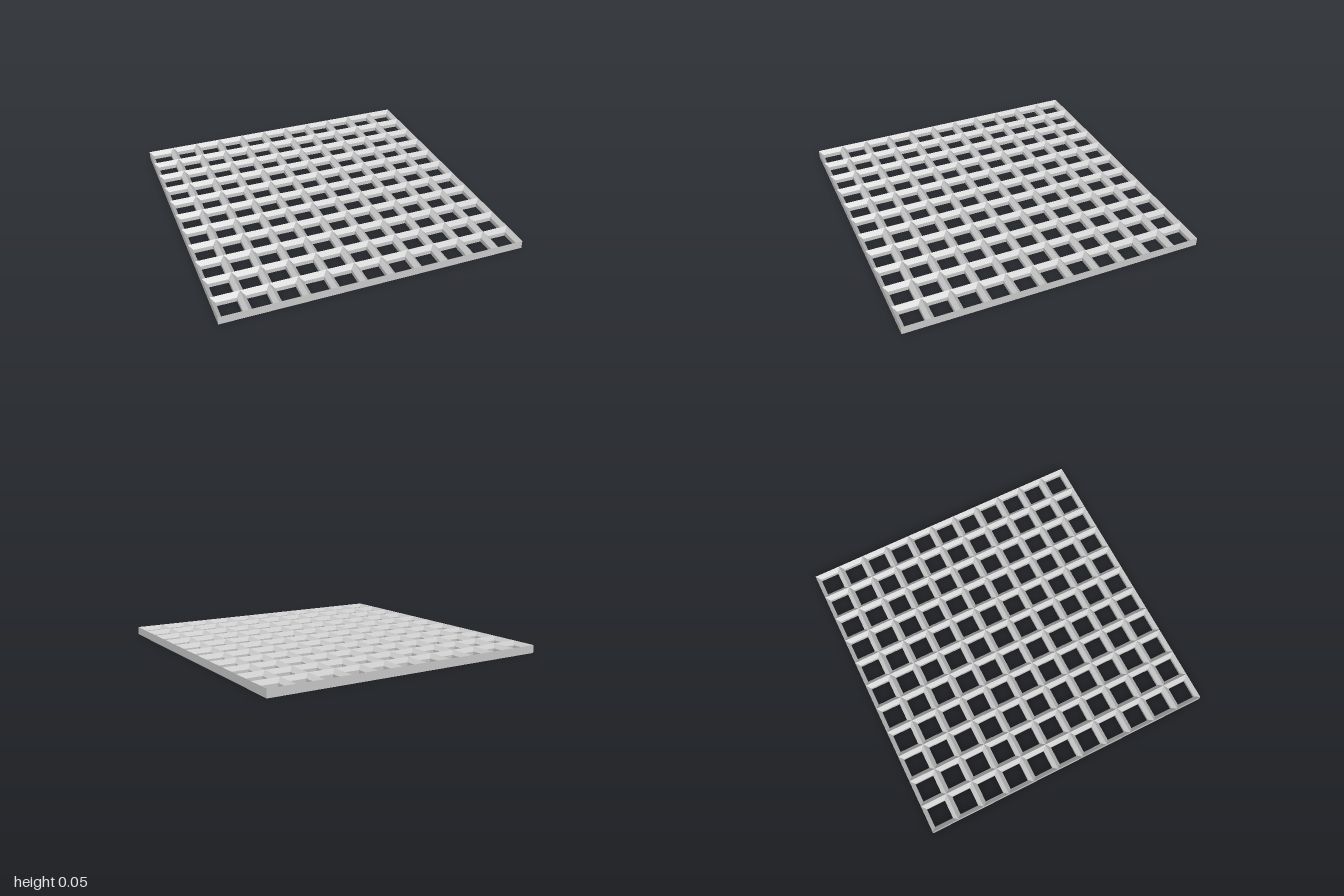
import * as THREE from 'three';
import { mergeGeometries } from 'three/addons/utils/BufferGeometryUtils.js';

const CELLS = 11;
const PITCH = 2 / CELLS;
const HEIGHT = 0.054;     // ridge height
const SHOULDER = 0.027;   // where the bevel meets the upright wall
const RIB = 0.027;        // half the width of a rib

// One square cell: bevelled rim, upright wall and flat underside, as a four-sided lathe
function cellGeometry() {
  const profile = [
    [PITCH / 2, HEIGHT],
    [PITCH / 2 - RIB, SHOULDER],
    [PITCH / 2 - RIB, 0],
    [PITCH / 2, 0],
  ].map(([r, y]) => new THREE.Vector2(r * Math.SQRT2, y));
  const geometry = new THREE.LatheGeometry(profile, 4, Math.PI / 4).toNonIndexed();
  geometry.computeVertexNormals();
  return geometry;
}

export function createModel() {
  const group = new THREE.Group();
  group.name = 'gridPlate';
  const material = new THREE.MeshStandardMaterial({ color: 0xcccccc, flatShading: true });

  // Lattice of cells; neighbouring bevels meet in sharp ridges
  const cell = cellGeometry();
  const cells = [];
  for (let i = 0; i < CELLS; i++) {
    for (let j = 0; j < CELLS; j++) {
      cells.push(cell.clone().translate((i + 0.5) * PITCH - 1, 0, (j + 0.5) * PITCH - 1));
    }
  }
  const lattice = new THREE.Mesh(mergeGeometries(cells), material);
  lattice.name = 'lattice';
  group.add(lattice);

  // Upright outer walls
  const walls = [0, 1, 2, 3].map((k) =>
    new THREE.PlaneGeometry(2, HEIGHT).translate(0, HEIGHT / 2, 1).rotateY((k * Math.PI) / 2));
  const outerWall = new THREE.Mesh(mergeGeometries(walls), material);
  outerWall.name = 'outerWall';
  group.add(outerWall);

  return group;
}
